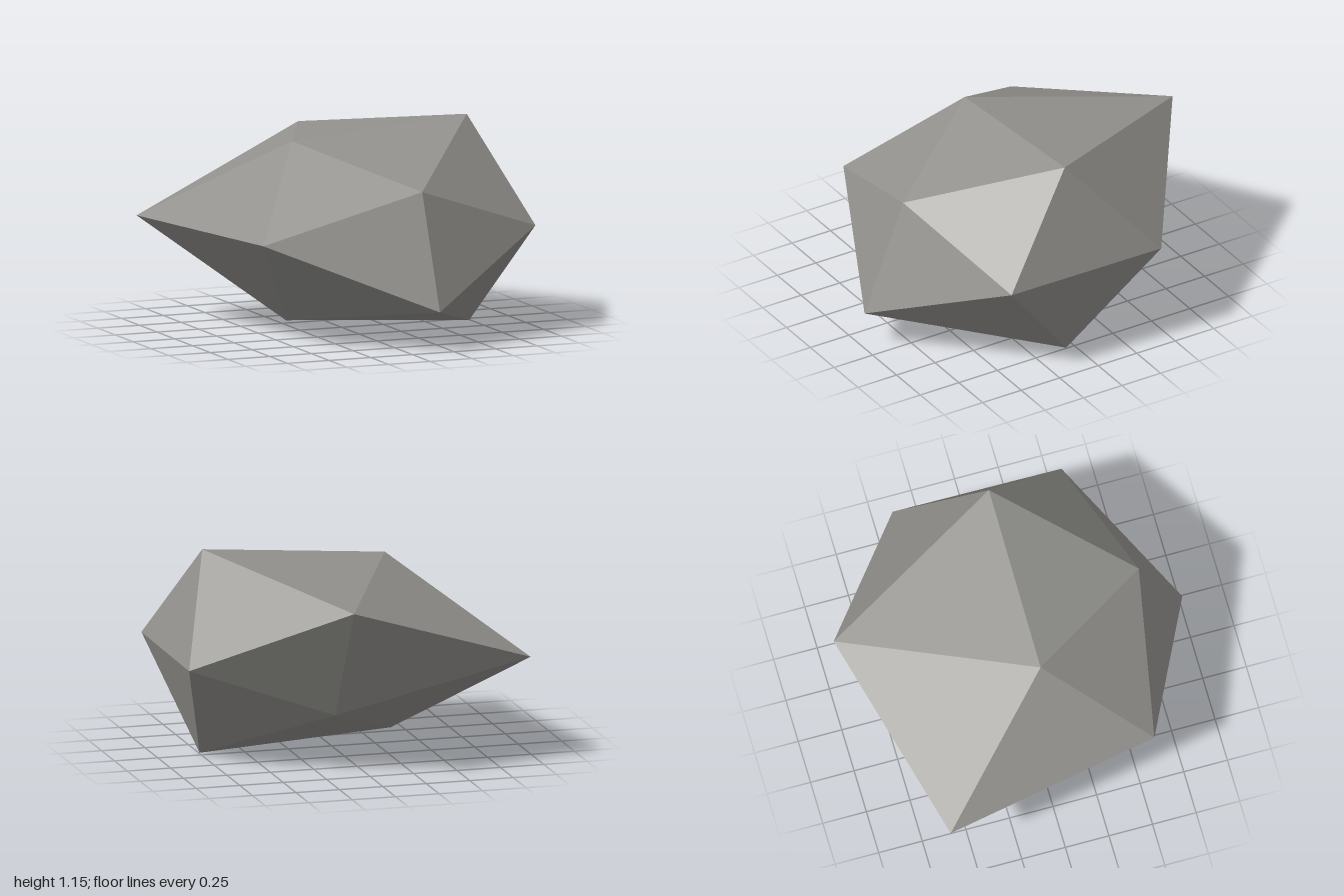
import * as THREE from 'three';

// A faceted boulder: an icosahedron whose twelve corners are pulled unevenly.
export function createModel() {
  const model = new THREE.Group();
  model.name = 'rock';

  const stone = new THREE.MeshStandardMaterial({ color: 0x92918d, flatShading: true });
  stone.name = 'stone grey';

  // corners, in opposite pairs along each axis
  const corners = [
    [-0.32, 1.07, 0.05], [0.73, 1.155, 0.05],   // top ridge
    [-0.355, 0.07, 0.05], [0.745, 0, 0.05],     // bottom ridge
    [0.165, 0.225, 1], [0.165, 0.86, 0.75],     // front edge
    [0.165, 0.33, -0.63], [0.165, 0.99, -1],    // back edge
    [0.95, 0.59, -0.44], [0.94, 0.59, 0.525],   // left side
    [-0.955, 0.59, -0.645], [-0.72, 0.59, 0.59] // right side
  ];
  const faces = [
    0, 11, 5, 0, 5, 1, 0, 1, 7, 0, 7, 10, 0, 10, 11,
    1, 5, 9, 5, 11, 4, 11, 10, 2, 10, 7, 6, 7, 1, 8,
    3, 9, 4, 3, 4, 2, 3, 2, 6, 3, 6, 8, 3, 8, 9,
    4, 9, 5, 2, 4, 11, 6, 2, 10, 8, 6, 7, 9, 8, 1
  ];

  const indexed = new THREE.BufferGeometry();
  indexed.setAttribute('position', new THREE.Float32BufferAttribute(corners.flat(), 3));
  indexed.setIndex(faces);
  const geometry = indexed.toNonIndexed(); // separate facets for hard edges
  geometry.computeVertexNormals();

  const boulder = new THREE.Mesh(geometry, stone);
  boulder.name = 'boulder';
  model.add(boulder);
  return model;
}
